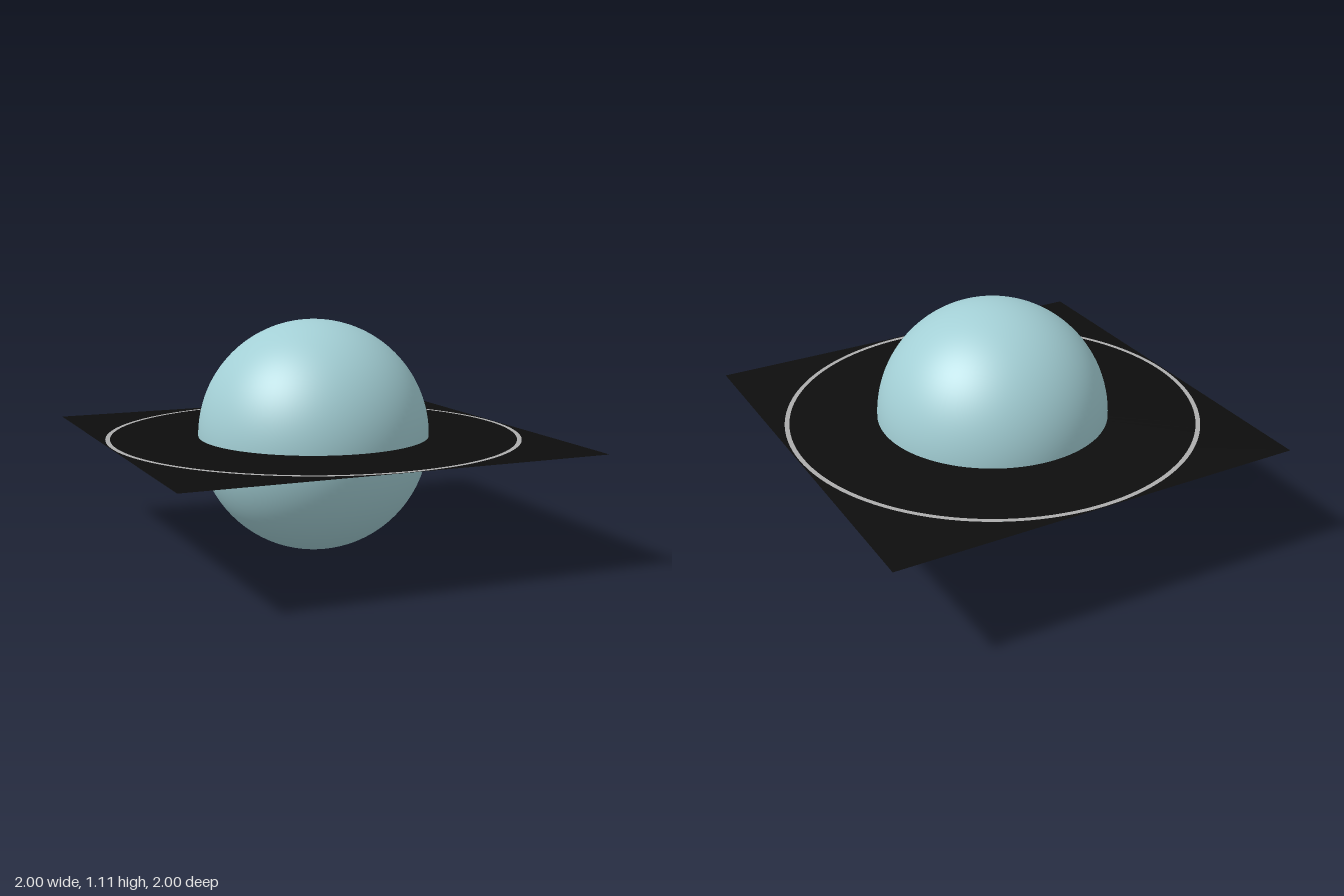
import * as THREE from 'three';

const RADIUS = 0.555;      // planet radius, also the height of the ring sheet
const RING_INNER = 0.972;
const RING_OUTER = 0.994;

export function createModel() {
  const model = new THREE.Group();
  model.name = 'ringedPlanet';

  const paint = (name, color, side = THREE.FrontSide) => {
    const material = new THREE.MeshStandardMaterial({ color, side });
    material.name = name;
    return material;
  };
  const paleCyan = paint('paleCyan', 0xa3cfd5);
  const black = paint('black', 0x0d0d0d, THREE.DoubleSide);
  const ringGrey = paint('ringGrey', 0xacacac, THREE.DoubleSide);

  const add = (name, geometry, material) => {
    const mesh = new THREE.Mesh(geometry, material);
    mesh.name = name;
    mesh.position.y = RADIUS;
    model.add(mesh);
    return mesh;
  };
  // Flat pieces are drawn in xy and laid down facing up
  const flat = (geometry) => geometry.rotateX(-Math.PI / 2);

  // Smooth planet ball
  add('planet', new THREE.SphereGeometry(RADIUS, 96, 64), paleCyan);

  // Square sheet outside the ring
  const square = new THREE.Shape([
    new THREE.Vector2(-1, -1), new THREE.Vector2(1, -1),
    new THREE.Vector2(1, 1), new THREE.Vector2(-1, 1),
  ]);
  square.holes.push(new THREE.Path().absarc(0, 0, RING_OUTER, 0, Math.PI * 2, true));
  add('outerSheet', flat(new THREE.ShapeGeometry(square, 128)), black);

  // Thin bright ring, level with the sheet
  add('ring', flat(new THREE.RingGeometry(RING_INNER, RING_OUTER, 128)), ringGrey);

  // Dark sheet between the ring and the planet
  add('innerSheet', flat(new THREE.RingGeometry(RADIUS - 0.05, RING_INNER, 128)), black);

  return model;
}
